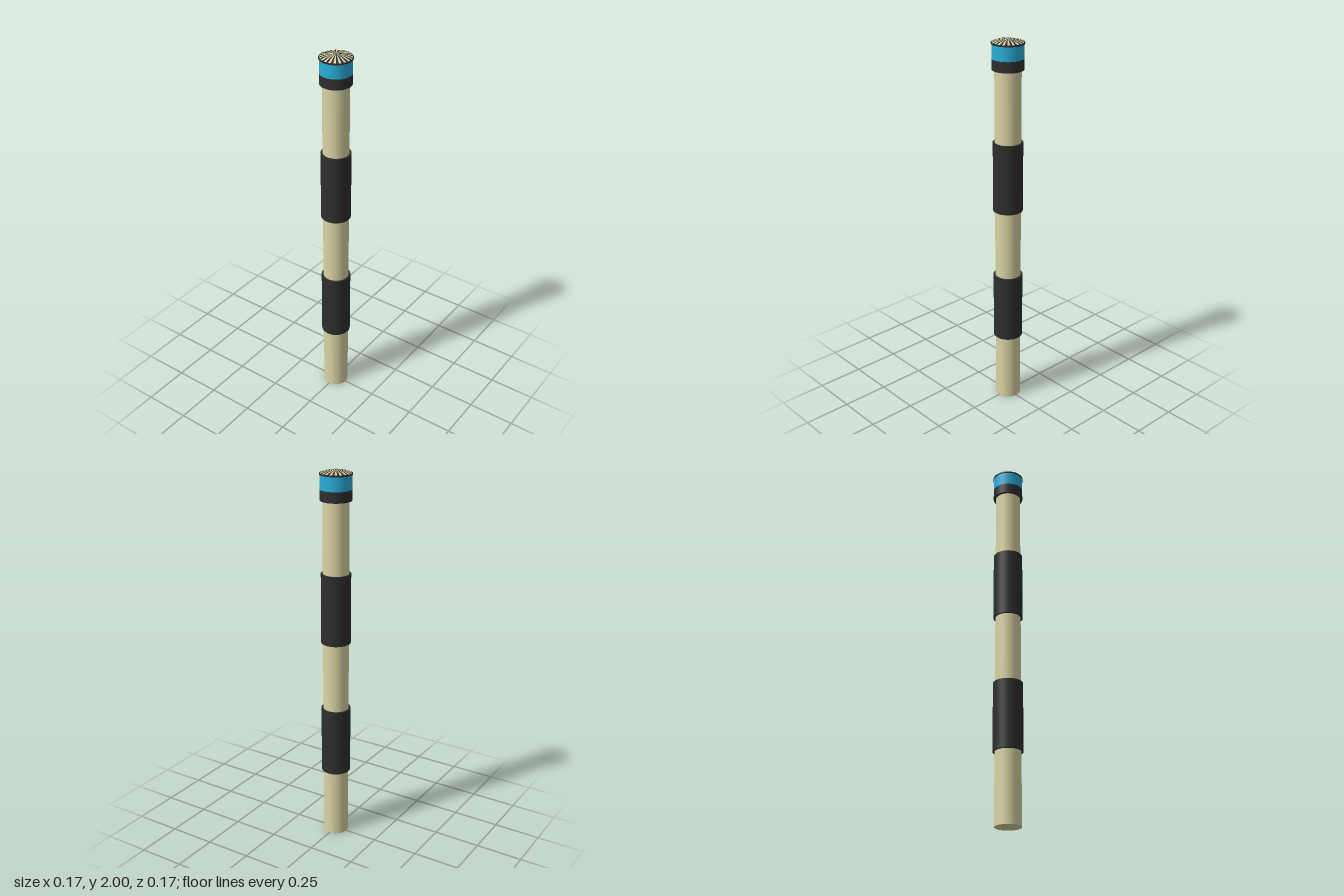
import * as THREE from 'three';

const material = (color) => new THREE.MeshStandardMaterial({ color, side: THREE.DoubleSide });

export function createModel() {
  const model = new THREE.Group();
  const cream = material(0xd9d3a3);
  const dark = material(0x2e2e2e);
  const blue = material(0x2aaedb);

  // Upright cylinder between two heights
  const tube = (name, radius, y0, y1, mat) => {
    const mesh = new THREE.Mesh(new THREE.CylinderGeometry(radius, radius, y1 - y0, 40), mat);
    mesh.name = name;
    mesh.position.y = (y0 + y1) / 2;
    model.add(mesh);
  };

  // Pole with two dark sleeves
  tube('pole', 0.067, 0, 1.86, cream);
  tube('lowerSleeve', 0.077, 0.375, 0.74, dark);
  tube('upperSleeve', 0.077, 1.11, 1.48, dark);

  // Head: dark collar, blue band, dark rim
  tube('collar', 0.08, 1.85, 1.905, dark);
  tube('blueBand', 0.08, 1.905, 1.98, blue);
  tube('capRim', 0.083, 1.977, 1.984, dark);

  // Shallow domed cap divided into alternating wedges
  const cap = new THREE.Group();
  cap.name = 'stripedCap';
  const profile = [[0.08, 1.985], [0.06, 1.992], [0.035, 1.997], [0, 2]]
    .map(([x, y]) => new THREE.Vector2(x, y));
  const edge = [new THREE.Vector2(0.083, 1.984), profile[0]];
  const sectors = 40;
  const step = (Math.PI * 2) / sectors;
  for (let i = 0; i < sectors; i++) {
    // Cream wedges start just in front of the +x axis
    const start = Math.PI / 2 - (i + 1) * step;
    const wedge = new THREE.Mesh(new THREE.LatheGeometry(profile, 1, start, step), i % 2 ? dark : cream);
    wedge.name = i % 2 ? 'darkWedge' : 'creamWedge';
    cap.add(wedge);
  }
  const bevel = new THREE.Mesh(new THREE.LatheGeometry(edge, 40), dark);
  bevel.name = 'capBevel';
  cap.add(bevel);
  model.add(cap);

  return model;
}
